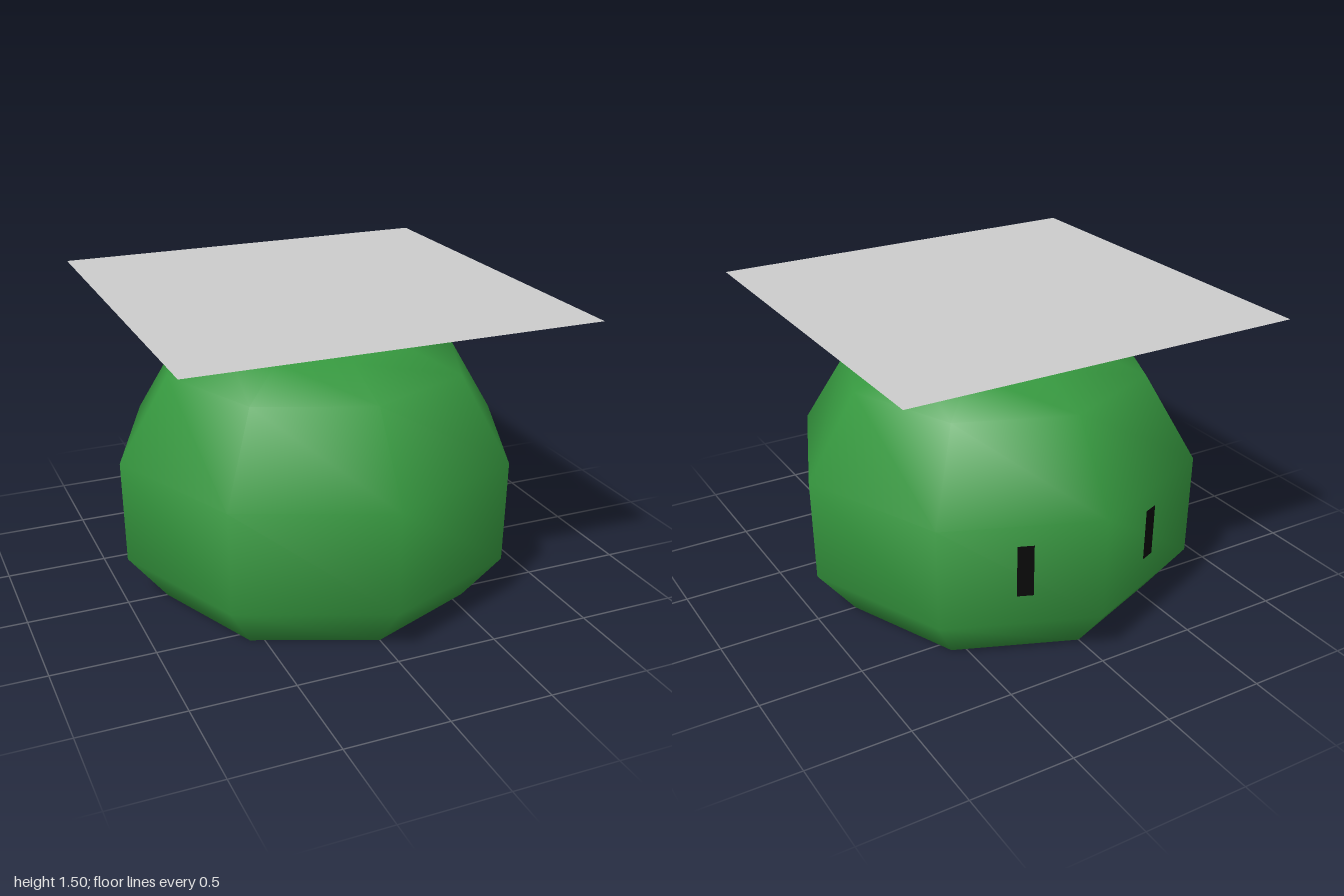
import * as THREE from 'three';

export function createModel() {
  const model = new THREE.Group();
  const green = new THREE.MeshStandardMaterial({ color: 0x36983f });
  const black = new THREE.MeshStandardMaterial({ color: 0x0a0a0a, side: THREE.DoubleSide });
  const grey = new THREE.MeshStandardMaterial({ color: 0xcccccc, side: THREE.DoubleSide });

  // Eight-sided smooth-shaded body, profile from the base up
  const profile = [
    [0, 0], [0.8, 0], [0.99, 0.24], [1, 0.75],
    [0.75, 1.16], [0.46, 1.27], [0.13, 1.34], [0, 1.35],
  ].map(([r, y]) => new THREE.Vector2(r, y));
  const body = new THREE.Mesh(new THREE.LatheGeometry(profile, 8), green);
  body.name = 'body';
  model.add(body);

  // Narrow upright eyes lying on the two rear facets
  const eyeGeometry = new THREE.PlaneGeometry(0.077, 0.26);
  for (const side of [1, -1]) {
    const eye = new THREE.Mesh(eyeGeometry, black);
    eye.name = side > 0 ? 'leftEye' : 'rightEye';
    eye.position.set(side * 0.3415, 0.52, -0.859);
    eye.rotation.set(0.018, Math.PI - side * Math.PI / 8, 0, 'YXZ');
    model.add(eye);
  }

  // Thin square panel floating above the body
  const panel = new THREE.Mesh(new THREE.PlaneGeometry(1.96, 1.96), grey);
  panel.name = 'floatingPanel';
  panel.rotation.x = -Math.PI / 2;
  panel.position.y = 1.5;
  model.add(panel);

  return model;
}
